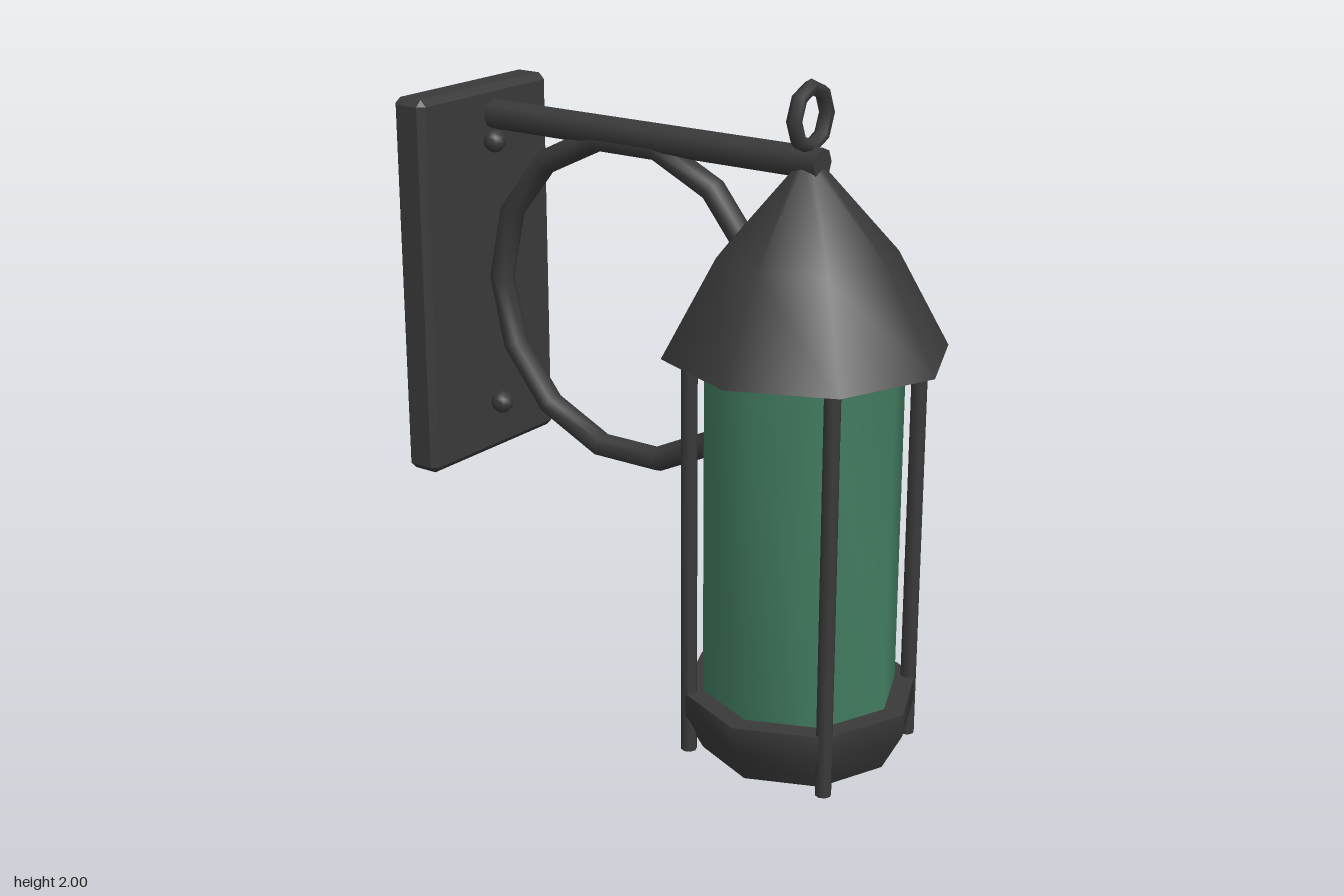
import * as THREE from 'three';
import { ConvexGeometry } from 'three/addons/geometries/ConvexGeometry.js';

const LANTERN_Z = 0.433;

export function createModel() {
  const iron = new THREE.MeshStandardMaterial({ color: 0x3a3a3a });
  iron.name = 'blackIron';
  const green = new THREE.MeshStandardMaterial({ color: 0x427c60 });
  green.name = 'greenGlass';

  const model = new THREE.Group();
  model.name = 'wallLantern';

  const add = (parent, name, geometry, material, x = 0, y = 0, z = 0) => {
    const mesh = new THREE.Mesh(geometry, material);
    mesh.name = name;
    mesh.position.set(x, y, z);
    parent.add(mesh);
    return mesh;
  };

  // Eight-sided turned part with corners on the axes; a repeated point makes a crease
  const turned = (profile) => {
    const g = new THREE.LatheGeometry(profile.map(([r, y]) => new THREE.Vector2(r, y)), 8);
    g.rotateY(Math.PI / 2);
    g.computeVertexNormals();
    return g;
  };

  // Lantern body
  const lantern = new THREE.Group();
  lantern.name = 'lantern';
  lantern.position.z = LANTERN_Z;
  model.add(lantern);

  add(lantern, 'base', turned([
    [0, 0], [0.29, 0], [0.29, 0], [0.355, 0.12], [0.355, 0.19], [0.355, 0.19], [0, 0.19],
  ]), iron);
  add(lantern, 'glass', turned([[0.292, 0.15], [0.292, 1.24]]), green);
  add(lantern, 'roof', turned([
    [0, 1.225], [0.415, 1.225], [0.415, 1.225], [0.26, 1.51], [0.03, 1.77], [0, 1.785],
  ]), iron);

  // Four upright bars on the diagonals
  for (const sx of [-1, 1]) {
    for (const sz of [-1, 1]) {
      add(lantern, 'uprightBar', new THREE.CylinderGeometry(0.024, 0.024, 1.25, 8),
        iron, sx * 0.236, 0.625, sz * 0.236);
    }
  }

  // Hanging ring on top
  add(lantern, 'topRing', new THREE.TorusGeometry(0.083, 0.022, 6, 8), iron, 0, 1.896, 0);

  // Horizontal arm
  const arm = new THREE.CylinderGeometry(0.046, 0.046, 1.175, 8);
  arm.rotateX(Math.PI / 2);
  add(model, 'arm', arm, iron, 0, 1.77, -0.113);

  // Round brace under the arm
  const brace = new THREE.TorusGeometry(0.49, 0.038, 8, 14);
  brace.rotateY(Math.PI / 2);
  add(model, 'roundBrace', brace, iron, 0, 1.265, -0.195);

  // Wall plate: a box with every edge chamfered
  const half = [0.293, 0.585, 0.06];
  const bevel = 0.02;
  const corners = [];
  for (const sx of [-1, 1]) for (const sy of [-1, 1]) for (const sz of [-1, 1]) {
    for (let full = 0; full < 3; full++) {
      const p = [sx, sy, sz].map((s, i) => s * (half[i] - (i === full ? 0 : bevel)));
      corners.push(new THREE.Vector3(...p));
    }
  }
  add(model, 'wallPlate', new ConvexGeometry(corners), iron, 0, 1.265, -0.787);

  // Bolts on the plate
  for (const y of [0.845, 1.685]) {
    add(model, 'bolt', new THREE.SphereGeometry(0.035, 8, 6), iron, 0, y, -0.7);
  }

  return model;
}
